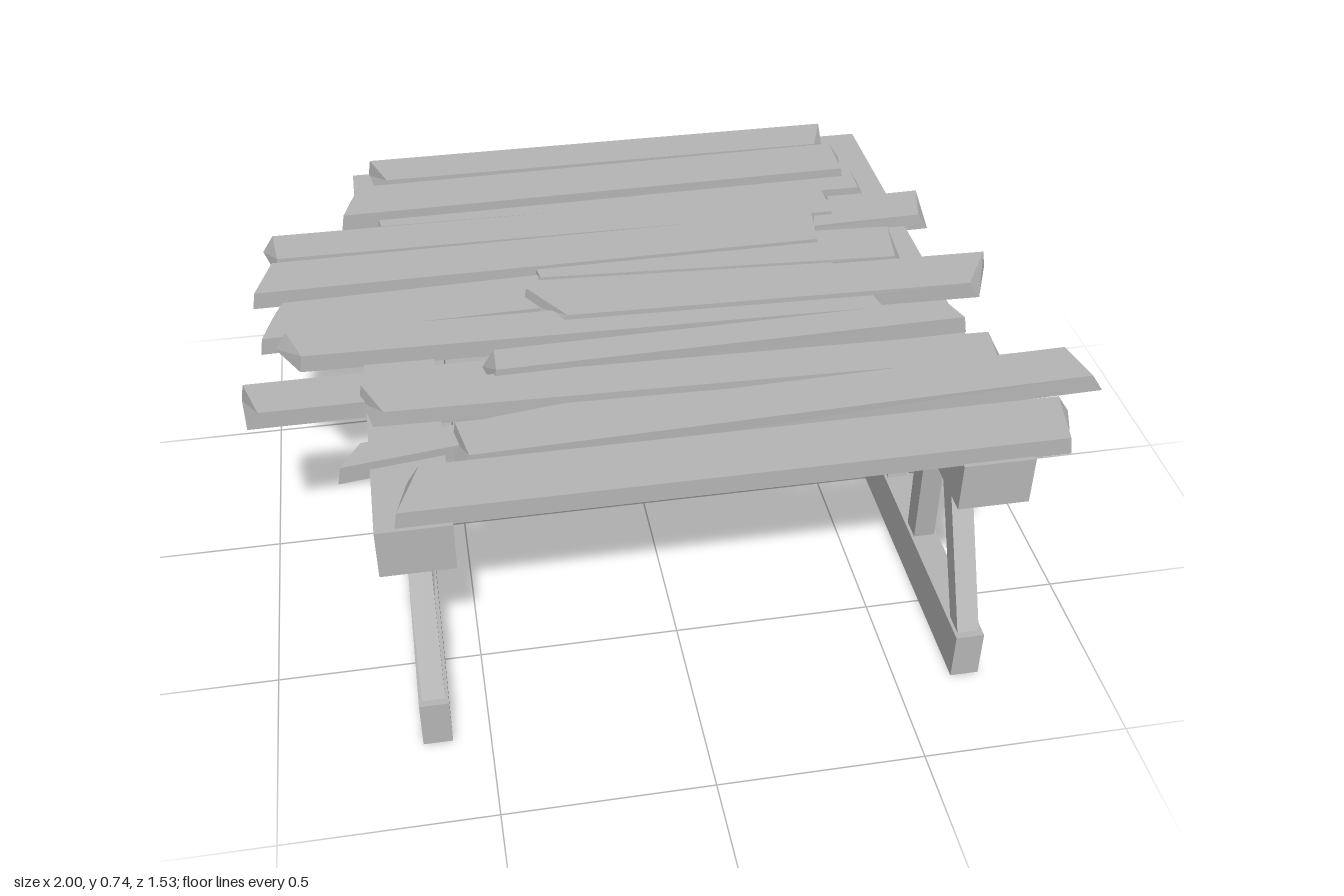
import * as THREE from 'three';

// Box whose eight corners are moved by a rule: (sx, sy, sz) are -1 or 1
function shapedBox(place) {
  const g = new THREE.BoxGeometry(2, 2, 2).toNonIndexed();
  const p = g.attributes.position;
  for (let i = 0; i < p.count; i++) {
    p.setXYZ(i, ...place(p.getX(i), p.getY(i), p.getZ(i)));
  }
  g.computeVertexNormals();
  return g;
}

// Board along a centre line, with skewed ends whose top edges are cut back on one side
function plankGeometry([xl, zl, xr, zr, width, skewL, skewR, y], i) {
  return shapedBox((sx, sy, sz) => {
    const x = sx < 0 ? xl + (skewL * sz) / 2 : xr + (skewR * sz) / 2;
    const cutSide = i % 2 ? -1 : 1;
    const cut = sy > 0 ? (sz === cutSide ? 0.03 : 0.008) : 0;
    const z = (sx < 0 ? zl : zr) + (sz * width) / 2;
    return [x - sx * cut, sy < 0 ? y : y + 0.046, z];
  });
}

// Leaning post between the ground beam and the top beam, slightly wider at the top
function postGeometry(zBottom, zTop, lean) {
  return shapedBox((sx, sy, sz) => [
    sx * 0.027 + (sy > 0 ? lean : 0),
    sy > 0 ? 0.56 : 0.125,
    sy > 0 ? zTop + sz * 0.032 : zBottom + sz * 0.028,
  ]);
}

export function createModel() {
  const model = new THREE.Group();
  const wood = new THREE.MeshStandardMaterial({ color: 0xb4b4b4 });
  wood.name = 'grey wood';

  const add = (parent, name, geometry, y = 0) => {
    const m = new THREE.Mesh(geometry, wood);
    m.name = name;
    m.position.y = y;
    parent.add(m);
  };

  // Posts: z at the bottom, z at the top, inward lean
  const posts = [
    [0.722, 0.493, 0],
    [0.367, 0.41, 0.02],
    [0.13, 0.052, 0.005],
    [-0.128, -0.1, 0],
    [-0.385, -0.417, 0.01],
    [-0.728, -0.488, 0],
  ];

  // Two side frames, each with a wide top beam, a narrow ground beam and posts
  for (const side of [-1, 1]) {
    const frame = new THREE.Group();
    frame.name = side < 0 ? 'rightFrame' : 'leftFrame';
    frame.position.x = side * 0.65 + 0.025;
    add(frame, 'topBeam', new THREE.BoxGeometry(0.168, 0.125, 1.53), 0.6175);
    add(frame, 'groundBeam', new THREE.BoxGeometry(0.07, 0.13, 1.53), 0.065);
    for (const [zBottom, zTop, lean] of posts) {
      add(frame, 'post', postGeometry(zBottom, zTop, -side * lean));
    }
    model.add(frame);
  }

  // Deck boards, back to front: right end x, z; left end x, z; width; end skews; underside height
  const planks = [
    [-0.655, -0.705, 0.65, -0.707, 0.117, 0.02, -0.02, 0.677],
    [-0.733, -0.543, 0.668, -0.565, 0.145, -0.025, -0.025, 0.68],
    [-0.67, -0.497, 0.7, -0.482, 0.115, 0, 0.02, 0.655],
    [-0.938, -0.348, 0.583, -0.338, 0.115, 0.035, -0.025, 0.675],
    [-0.5, -0.265, 0.83, -0.302, 0.125, 0, -0.01, 0.665],
    [-0.965, -0.197, 0.515, -0.21, 0.135, -0.02, -0.04, 0.68],
    [-0.28, -0.17, 0.7, -0.115, 0.145, 0, 0, 0.67],
    [-0.943, -0.028, 0.52, -0.07, 0.15, -0.025, 0, 0.662],
    [-0.27, 0.04, 0.87, 0.07, 0.135, 0.065, -0.06, 0.688],
    [-0.89, 0.1, 0.58, 0.133, 0.105, 0.06, 0, 0.675],
    [-0.993, 0.26, 0.52, 0.253, 0.115, 0.015, 0, 0.645],
    [-0.42, 0.267, 0.752, 0.245, 0.08, 0.02, 0.005, 0.692],
    [-0.712, 0.345, 0.805, 0.385, 0.11, 0.025, 0.01, 0.674],
    [-0.768, 0.52, 0.2, 0.39, 0.08, -0.025, 0, 0.655],
    [-0.52, 0.535, 0.978, 0.49, 0.12, 0, 0.045, 0.681],
    [-0.648, 0.68, 0.87, 0.68, 0.15, -0.035, -0.05, 0.676],
  ];
  const deck = new THREE.Group();
  deck.name = 'deck';
  planks.forEach((p, i) => add(deck, 'plank', plankGeometry(p, i)));
  model.add(deck);

  return model;
}
